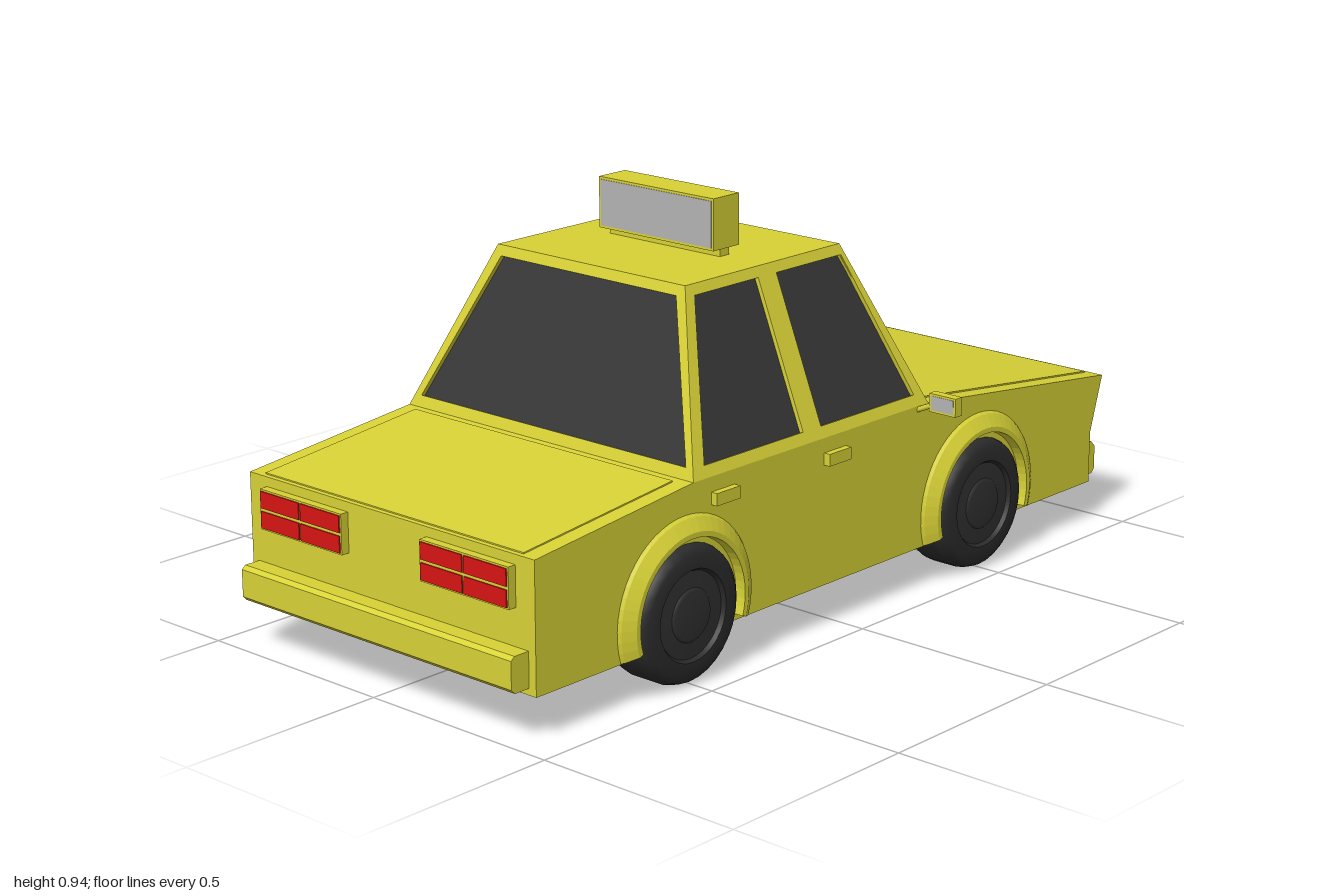
import * as THREE from 'three';

const mat = (color) => new THREE.MeshStandardMaterial({ color });
const paint = mat(0xd8d236), glassMat = mat(0x363636), rubber = mat(0x2b2b2b);
const hubMat = mat(0x303030), red = mat(0xd81414), lamp = mat(0xb4b4b4);

function add(parent, name, geometry, material) {
  const mesh = new THREE.Mesh(geometry, material);
  mesh.name = name;
  parent.add(mesh);
  return mesh;
}

// box given by its limits on each axis
function box(parent, name, [x0, x1], [y0, y1], [z0, z1], material = paint) {
  const g = new THREE.BoxGeometry(x1 - x0, y1 - y0, z1 - z0);
  g.translate((x0 + x1) / 2, (y0 + y1) / 2, (z0 + z1) / 2);
  return add(parent, name, g, material);
}

// side profile of [z, y] points, extruded across x
function profile(parent, name, points, x0, x1, material = paint) {
  const shape = new THREE.Shape(points.map(([z, y]) => new THREE.Vector2(-z, y)));
  const g = new THREE.ExtrudeGeometry(shape, { depth: x1 - x0, bevelEnabled: false });
  g.rotateY(Math.PI / 2).translate(x0, 0, 0);
  return add(parent, name, g, material);
}

// flat cabin wall with window openings; corners run anticlockwise seen from outside
function windowWall(parent, name, corners, windows) {
  const thick = 0.016;
  const v = corners.map((c) => new THREE.Vector3(...c));
  const ax = v[1].clone().sub(v[0]).normalize();
  const n = ax.clone().cross(v[3].clone().sub(v[0])).normalize();
  const ay = n.clone().cross(ax);
  const flat = (p) => {
    const d = p.clone().sub(v[0]);
    return new THREE.Vector2(d.dot(ax), d.dot(ay));
  };
  const place = (g, depth) => g.applyMatrix4(new THREE.Matrix4().makeBasis(ax, ay, n)
    .setPosition(v[0].clone().addScaledVector(n, -depth)));
  const wall = new THREE.Shape(v.map(flat));
  for (const w of windows) {
    const pts = w.map((c) => flat(new THREE.Vector3(...c)));
    wall.holes.push(new THREE.Path(pts));
    add(parent, name + 'Glass', place(new THREE.ShapeGeometry(new THREE.Shape(pts)), 0.01), glassMat);
  }
  add(parent, name + 'Frame', place(new THREE.ExtrudeGeometry(wall, { depth: thick, bevelEnabled: false }), thick), paint);
}

function buildCabin() {
  const cabin = new THREE.Group();
  cabin.name = 'cabin';
  const yb = 0.44, yt = 0.81, xb = 0.43, xt = 0.28;
  const sideX = (y) => xb + (xt - xb) * (y - yb) / (yt - yb);
  const rearZ = (y) => 0.48 - 0.14 * (y - yb) / (yt - yb);
  const frontZ = (y) => -0.31 + 0.14 * (y - yb) / (yt - yb);
  const lo = 0.465, hi = 0.787;

  windowWall(cabin, 'rearWindow',
    [[-xb, yb, 0.48], [xb, yb, 0.48], [xt, yt, 0.34], [-xt, yt, 0.34]],
    [[[-0.4, lo, rearZ(lo)], [0.4, lo, rearZ(lo)], [0.262, hi, rearZ(hi)], [-0.262, hi, rearZ(hi)]]]);
  windowWall(cabin, 'windscreen',
    [[xb, yb, -0.31], [-xb, yb, -0.31], [-xt, yt, -0.17], [xt, yt, -0.17]],
    [[[0.4, lo, frontZ(lo)], [-0.4, lo, frontZ(lo)], [-0.262, hi, frontZ(hi)], [0.262, hi, frontZ(hi)]]]);

  for (const s of [1, -1]) {
    const outline = [[0.48, yb], [-0.31, yb], [-0.17, yt], [0.34, yt]];
    const rear = [[0.435, lo], [0.115, lo], [0.115, hi], [0.32, hi]];
    const front = [[0.055, lo], [-0.27, lo], [-0.165, hi], [0.055, hi]];
    const to3D = (pts) => {
      const out = pts.map(([z, y]) => [s * sideX(y), y, z]);
      // keep the first edge along the bottom and the order outward
      return s > 0 ? out : [out[1], out[0], out[3], out[2]];
    };
    windowWall(cabin, s > 0 ? 'leftSide' : 'rightSide', to3D(outline), [to3D(rear), to3D(front)]);
  }
  box(cabin, 'roof', [-xt, xt], [yt - 0.018, yt], [-0.17, 0.34]);
  return cabin;
}

function buildWheel(z) {
  const wheel = new THREE.Group();
  wheel.name = 'wheel';
  const lathe = (pts) => new THREE.LatheGeometry(pts.map((p) => new THREE.Vector2(...p)), 32).rotateZ(-Math.PI / 2);
  // separate bands keep the tyre edges crisp
  add(wheel, 'tyreInnerWall', lathe([[0, 0], [0.155, 0]]), rubber);
  add(wheel, 'tyreTread', lathe([[0.155, 0], [0.157, 0.01], [0.157, 0.075]]), rubber);
  add(wheel, 'tyreShoulder', lathe([[0.157, 0.075], [0.15, 0.095], [0.135, 0.107], [0.103, 0.107]]), rubber);
  add(wheel, 'rimLip', lathe([[0.103, 0.107], [0.097, 0.098]]), rubber);
  add(wheel, 'hubcap', lathe([[0.097, 0.098], [0.06, 0.1]]), hubMat);
  add(wheel, 'hubCentre', lathe([[0.06, 0.1], [0.054, 0.106], [0, 0.106]]), hubMat);
  wheel.position.set(0.346, 0.158, z);
  return wheel;
}

// tapered arch lip over a wheel
function addArch(parent, z) {
  const arc = THREE.MathUtils.degToRad(216);
  const pts = [[0.21, -0.002], [0.203, 0.007], [0.175, 0.024], [0.163, 0.024], [0.16, -0.002]];
  const g = new THREE.LatheGeometry(pts.map((p) => new THREE.Vector2(...p)), 32, 1.5 * Math.PI - arc / 2, arc);
  g.rotateZ(-Math.PI / 2);
  const m = paint.clone();
  m.side = THREE.DoubleSide;
  m.flatShading = true;
  add(parent, 'wheelArch', g, m).position.set(0.43, 0.166, z);
}

// everything that exists once on each side, made for +x
function buildSide() {
  const side = new THREE.Group();
  for (const z of [0.505, -0.5]) {
    side.add(buildWheel(z));
    addArch(side, z);
  }
  for (const z of [0.387, 0.018]) box(side, 'doorHandle', [0.425, 0.446], [0.378, 0.406], [z - 0.037, z + 0.037]);

  // door mirror
  const stem = new THREE.TubeGeometry(new THREE.LineCurve3(
    new THREE.Vector3(0.425, 0.43, -0.275), new THREE.Vector3(0.475, 0.452, -0.283)), 1, 0.007, 6);
  add(side, 'mirrorStem', stem, paint);
  box(side, 'mirrorHousing', [0.462, 0.536], [0.434, 0.477], [-0.295, -0.272]);
  box(side, 'mirrorGlass', [0.468, 0.53], [0.439, 0.472], [-0.28, -0.271], lamp);

  // tail lamp with four cells
  box(side, 'tailLampFrame', [0.119, 0.376], [0.279, 0.37], [0.94, 0.97]);
  for (const x of [0.123, 0.25]) {
    for (const y of [0.283, 0.328]) box(side, 'tailLampCell', [x, x + 0.122], [y, y + 0.038], [0.95, 0.973], red);
  }

  // headlamp lying on the sloped nose
  profile(side, 'headlampFrame', [[-0.95, 0.258], [-0.972, 0.258], [-0.996, 0.332], [-0.96, 0.332]], 0.12, 0.375);
  profile(side, 'headlampGlass', [[-0.95, 0.267], [-0.978, 0.267], [-0.996, 0.323], [-0.96, 0.323]], 0.13, 0.365, lamp);
  return side;
}

export function createModel() {
  const car = new THREE.Group();
  car.name = 'cabCar';

  profile(car, 'body', [[0.95, 0.1], [0.95, 0.392], [0.48, 0.44], [-0.31, 0.44],
    [-0.992, 0.36], [-0.95, 0.225], [-0.95, 0.1]], -0.43, 0.43);
  profile(car, 'bootLid', [[0.94, 0.39], [0.94, 0.396], [0.5, 0.441], [0.5, 0.43]], -0.39, 0.39);
  profile(car, 'bonnet', [[-0.34, 0.43], [-0.34, 0.44], [-0.975, 0.3655], [-0.975, 0.355]], -0.39, 0.39);
  profile(car, 'rearBumper', [[0.94, 0.115], [0.99, 0.115], [1, 0.125], [1, 0.187], [0.99, 0.195], [0.94, 0.195]], -0.41, 0.41);
  profile(car, 'frontBumper', [[-0.94, 0.108], [-0.99, 0.108], [-1, 0.118], [-1, 0.175], [-0.985, 0.19], [-0.94, 0.19]], -0.41, 0.41);
  car.add(buildCabin());

  const left = buildSide();
  left.name = 'leftParts';
  const right = buildSide();
  right.name = 'rightParts';
  right.scale.x = -1;
  car.add(left, right);

  // roof sign with a pale panel on both faces
  const sign = new THREE.Group();
  sign.name = 'roofSign';
  box(sign, 'signFoot', [-0.165, 0.165], [0.805, 0.832], [0.07, 0.1]);
  box(sign, 'signBox', [-0.171, 0.171], [0.828, 0.945], [0.044, 0.128]);
  box(sign, 'signPanels', [-0.165, 0.165], [0.834, 0.939], [0.0425, 0.1295], lamp);
  car.add(sign);
  return car;
}
